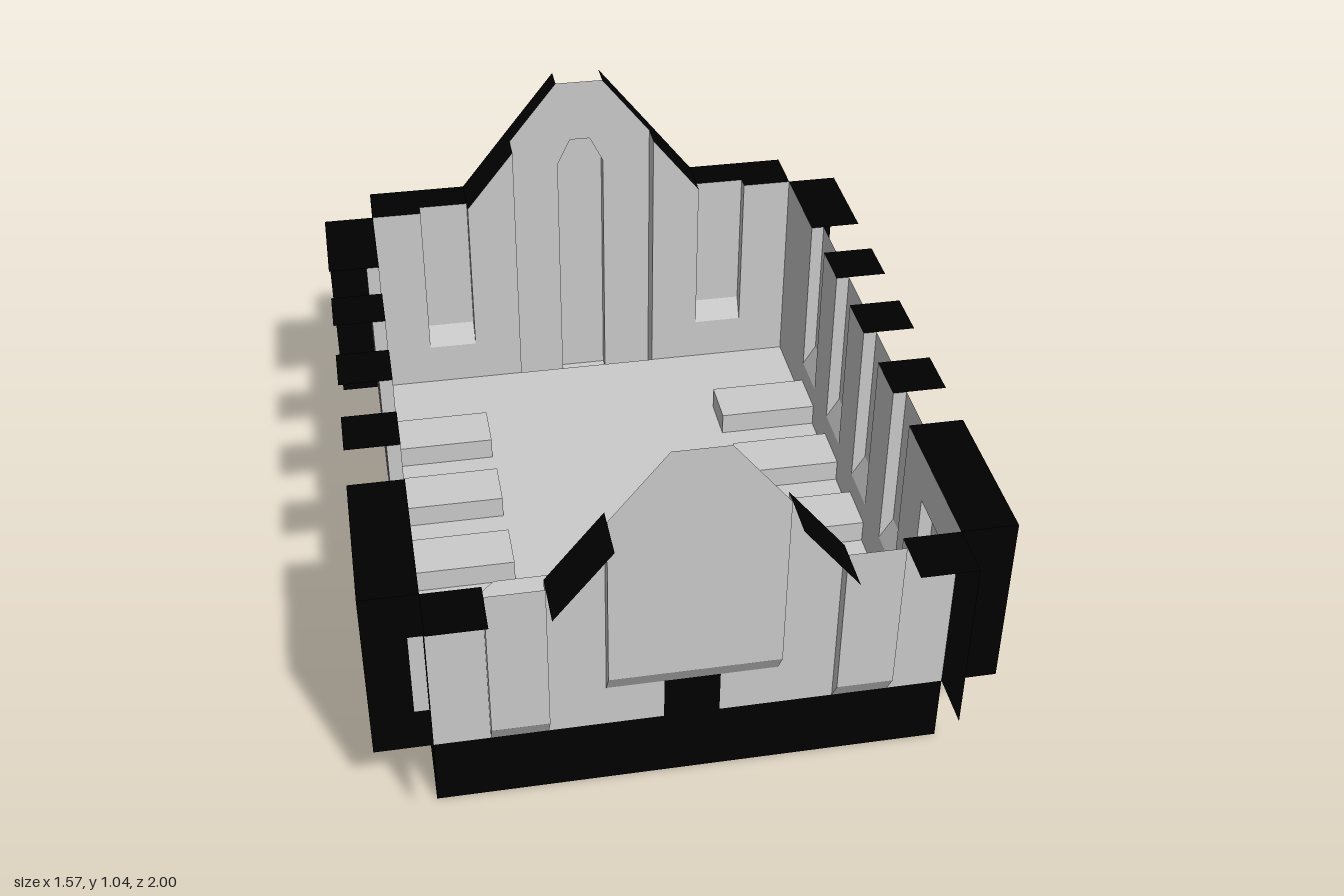
import * as THREE from 'three';

const X = 0.643, Z = 0.857, OX = 0.786, OZ = 1.0;   // inner wall lines, outer rim lines
const FLOOR = 0.06, STEP = 0.125, DAIS = 0.19, TOP = 0.68, SHOULDER = 0.86, PEAK = 1.04;
const DEPTH = 0.036, BAY = 0.071, DOOR = 0.107;
const grey = new THREE.MeshStandardMaterial({ color: 0xcccccc, side: THREE.DoubleSide, flatShading: true });
const black = new THREE.MeshStandardMaterial({ color: 0x000000, side: THREE.DoubleSide, flatShading: true });

// Mappings from (across, up, outward) to model space
const sideWall = s => (u, y, d = 0) => [s * (X + d), y, u];
const endWall = s => (u, y, d = 0) => [u, y, s * (Z + d)];
const level = y => (x, z) => [x, y, z];

export function createModel() {
  const model = new THREE.Group();
  let part, material;
  const begin = (name, mat = grey) => { part = { name, pos: [] }; material = mat; };
  const finish = () => {
    const g = new THREE.BufferGeometry();
    g.setAttribute('position', new THREE.Float32BufferAttribute(part.pos, 3));
    g.computeVertexNormals();
    const mesh = new THREE.Mesh(g, material);
    mesh.name = part.name;
    model.add(mesh);
  };
  // Flat polygon with optional holes, placed by a mapping
  const poly = (map, pts, d = 0, holes = []) => {
    const v = a => a.map(p => new THREE.Vector2(...p));
    const all = [...pts, ...holes.flat()];
    for (const f of THREE.ShapeUtils.triangulateShape(v(pts), holes.map(v)))
      for (const i of f) part.pos.push(...map(all[i][0], all[i][1], d));
  };
  const quad = (a, b, c, d) => part.pos.push(...a, ...b, ...c, ...a, ...c, ...d);
  const rect = (a, b, y0, y1) => [[a, y0], [b, y0], [b, y1], [a, y1]];
  const strip = (map, a, b, y0, y1) => poly(map, rect(a, b, y0, y1));
  // Band joining consecutive points at two depths
  const band = (map, pts, d0, d1) => {
    for (let i = 0; i < pts.length - 1; i++)
      quad(map(...pts[i], d0), map(...pts[i + 1], d0), map(...pts[i + 1], d1), map(...pts[i], d1));
  };
  // Recess, open at the top, with a sloping sill
  const niche = (map, a, b, top = TOP, y0 = 0.19, y1 = 0.25, peak = []) => {
    poly(map, [[a, y1], [b, y1], [b, top], ...peak, [a, top]], DEPTH);
    quad(map(a, y0, 0), map(b, y0, 0), map(b, y1, DEPTH), map(a, y1, DEPTH));
    for (const u of [a, b])
      quad(map(u, y0, 0), map(u, y1, DEPTH), map(u, top, DEPTH), map(u, top, 0));
  };
  // Block without an underside; the two x ends may differ in height
  const block = (x0, x1, z0, z1, y0, ya, yb = ya) => {
    quad([x0, ya, z0], [x0, ya, z1], [x1, yb, z1], [x1, yb, z0]);
    for (const z of [z0, z1]) quad([x0, y0, z], [x1, y0, z], [x1, yb, z], [x0, ya, z]);
    quad([x0, y0, z0], [x0, y0, z1], [x0, ya, z1], [x0, ya, z0]);
    quad([x1, y0, z0], [x1, y0, z1], [x1, yb, z1], [x1, yb, z0]);
  };

  const nicheZ = [-0.571, -0.286, 0, 0.286], W = 0.143;
  const pewZ = nicheZ.slice(0, 3), pewX = 0.357;

  // Side walls with four niches and a box recess near the front
  for (const s of [-1, 1]) {
    const m = sideWall(s);
    begin(s > 0 ? 'leftWall' : 'rightWall');
    let from = -Z;
    for (const z of nicheZ) {
      strip(m, from, z, FLOOR, TOP);
      strip(m, z, z + W, FLOOR, 0.19);
      niche(m, z, z + W);
      from = z + W;
    }
    strip(m, from, 0.575, STEP, TOP);
    strip(m, 0.575, Z, DAIS, 0.31);
    strip(m, 0.575, Z, 0.55, TOP);
    const box = rect(0.575, Z, 0.31, 0.55);
    poly(m, box, DEPTH);
    band(m, [...box, box[0]], 0, DEPTH);
    finish();
  }

  // Front wall with gabled centre recess
  begin('frontWall');
  const front = endWall(1), back = endWall(-1);
  const gable = [[0.07, PEAK], [-0.07, PEAK]];
  for (const s of [-1, 1]) {
    strip(front, s * 0.5, s * X, DAIS, TOP);
    niche(front, s * 0.357, s * 0.5);
    poly(front, [[s * 0.214, DAIS], [s * 0.357, DAIS], [s * 0.357, TOP], [s * 0.214, SHOULDER]]);
    strip(front, s * 0.07, s * 0.214, DAIS, 0.31);
  }
  niche(front, -0.214, 0.214, SHOULDER, 0.31, 0.37, gable);
  finish();

  // Back wall with gabled bay and arched doorway
  begin('backWall');
  for (const s of [-1, 1]) {
    strip(back, s * 0.5, s * X, FLOOR, TOP);
    strip(back, s * 0.357, s * 0.5, FLOOR, 0.19);
    niche(back, s * 0.357, s * 0.5);
    poly(back, [[s * 0.214, FLOOR], [s * 0.357, FLOOR], [s * 0.357, TOP], [s * 0.214, SHOULDER]]);
    band(back, [[s * 0.214, 0], [s * 0.214, SHOULDER]], 0, BAY);
  }
  const arch = [[-0.07, 0], [-0.07, 0.77], [-0.03, 0.85], [0.03, 0.85], [0.07, 0.77], [0.07, 0]];
  poly(back, [[-0.214, 0], ...arch, [0.214, 0], [0.214, SHOULDER], ...gable, [-0.214, SHOULDER]], BAY);
  band(back, [[-0.214, 0], [0.214, 0]], 0, BAY);
  strip(back, -0.214, 0.214, 0, FLOOR);
  finish();

  begin('door');
  poly(back, arch, DOOR);
  band(back, [...arch, arch[0]], BAY, DOOR);
  finish();

  // Floor, notched where the pews stand
  begin('floor');
  const edge = s => [[s * X, -Z],
    ...pewZ.flatMap(z => [[s * X, z], [s * pewX, z], [s * pewX, z + W], [s * X, z + W]]),
    [s * X, 0.429], [s * 0.5, 0.429], [s * 0.5, 0.357], [s * 0.429, 0.286]];
  poly(level(FLOOR), [...edge(1), ...edge(-1).reverse()]);
  finish();

  begin('pews');
  for (const s of [-1, 1])
    for (const z of pewZ) block(s * pewX, s * X, z, z + W, FLOOR, STEP);
  finish();

  // Raised platform with chamfered corners and side steps
  begin('dais');
  const rim = [[X, 0.571], [0.5, 0.571], [0.5, 0.357], [0.429, 0.286],
    [-0.429, 0.286], [-0.5, 0.357], [-0.5, 0.571], [-X, 0.571]];
  poly(level(DAIS), [...rim, [-X, Z], [-0.07, Z], [-0.07, 0.714], [0.07, 0.714], [0.07, Z], [X, Z]],
    0, [rect(-0.214, 0.214, 0.429, 0.571)]);
  rim.slice(1, -2).forEach(([x, z], i) => {
    const [x2, z2] = rim[i + 2];
    quad([x, FLOOR, z], [x2, FLOOR, z2], [x2, DAIS, z2], [x, DAIS, z]);
  });
  for (const s of [-1, 1]) {
    const a = s * 0.5, b = s * X;
    poly(level(STEP), rect(a, b, 0.429, 0.571));
    quad([a, FLOOR, 0.429], [b, FLOOR, 0.429], [b, STEP, 0.429], [a, STEP, 0.429]);
    quad([a, STEP, 0.571], [b, STEP, 0.571], [b, DAIS, 0.571], [a, DAIS, 0.571]);
  }
  finish();

  begin('altar');
  block(-0.214, -0.07, 0.429, 0.571, DAIS, 0.25);
  block(-0.07, 0.07, 0.429, 0.571, DAIS, 0.37);
  block(0.07, 0.214, 0.429, 0.571, DAIS, 0.31, 0.25);
  finish();

  begin('pedestal');
  block(-0.07, 0.07, 0.714, Z - 0.002, DAIS, 0.31);
  finish();

  // Dark skirt below the walls
  begin('skirt', black);
  for (const s of [-1, 1]) {
    poly(sideWall(s), [[-Z, 0], [Z, 0], [Z, DAIS], [0.571, DAIS], [0.571, STEP],
      [0.429, STEP], [0.429, FLOOR], [-Z, FLOOR]]);
    strip(back, s * 0.214, s * X, 0, FLOOR);
  }
  poly(front, [[-X, 0], [X, 0], [X, DAIS], [0.07, DAIS], [0.07, 0.31], [-0.07, 0.31], [-0.07, DAIS], [-X, DAIS]]);
  finish();

  // Dark rim over the wall tops, and the corner panels
  begin('wallCaps', black);
  const T = OX - X, D = OZ - Z;
  const stops = [-Z, ...nicheZ.flatMap(z => [z, z + W]), Z];
  for (const s of [-1, 1]) {
    for (let i = 0; i < stops.length; i += 2)
      band(sideWall(s), [[stops[i], TOP], [stops[i + 1], TOP]], 0, T);
    for (const m of [front, back]) {
      band(m, [[s * X, TOP], [s * 0.5, TOP]], 0, D);
      band(m, [[s * 0.357, TOP], [s * 0.214, SHOULDER]], 0, D);
    }
    band(back, [[s * 0.5, TOP], [s * 0.357, TOP]], DEPTH, D);
    band(back, [[s * 0.214, SHOULDER], [s * 0.07, PEAK]], BAY, D);
    band(front, [[s * X, DAIS], [s * X, TOP]], 0, D);
    band(back, [[s * X, FLOOR], [s * X, TOP]], 0, D);
    strip(back, s * X, s * OX, FLOOR, TOP);
    poly(front, [[s * X, DAIS], [s * OX, DAIS], [s * OX, TOP], [s * X, TOP],
      [s * X, 0.55], [s * (X + DEPTH), 0.55], [s * (X + DEPTH), 0.31], [s * X, 0.31]]);
  }
  finish();

  return model;
}
